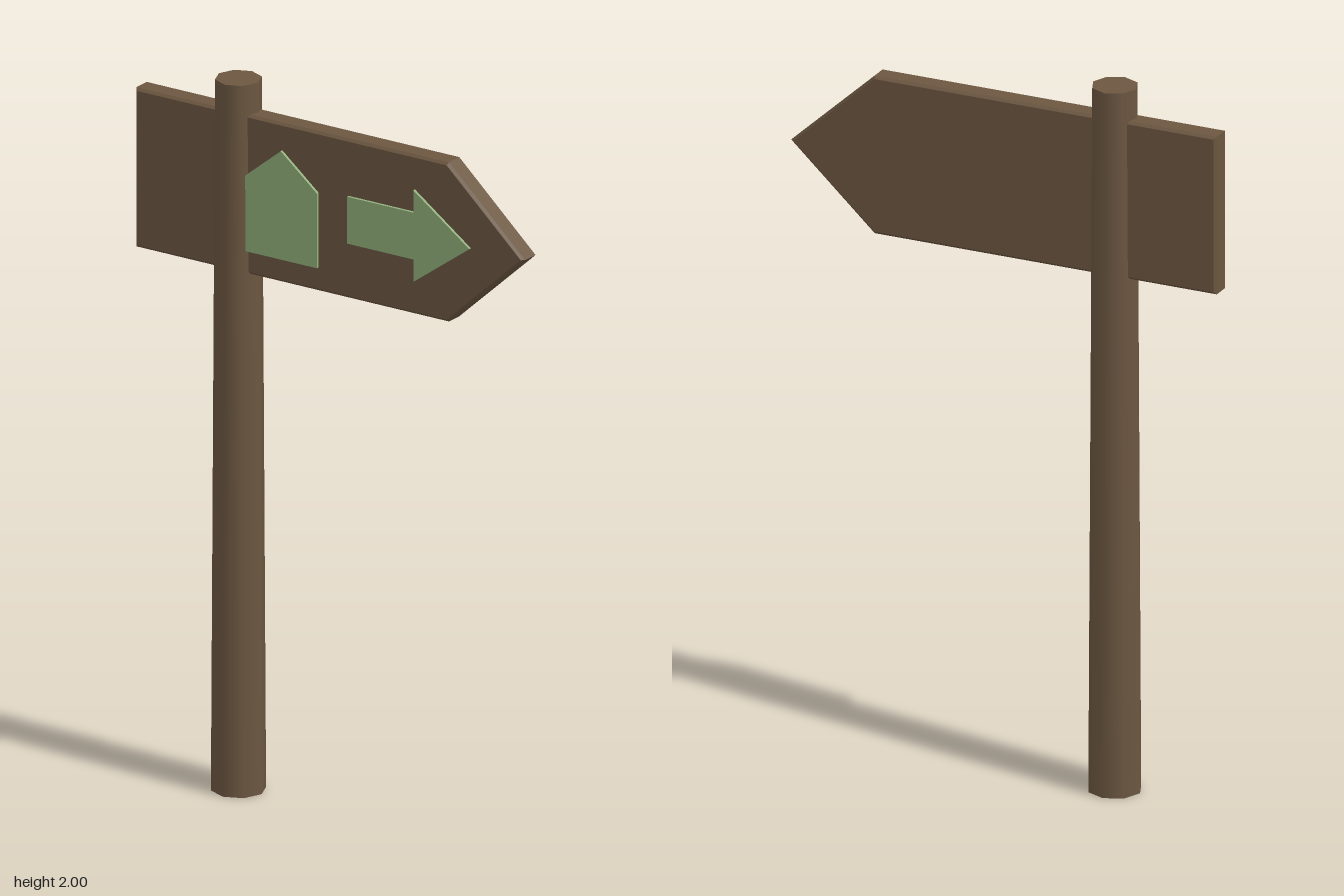
import * as THREE from 'three';

// Extrude an outline given as [x, y] corners, starting at depth z
function plate(name, points, z, options, material) {
  const shape = new THREE.Shape(points.map(([x, y]) => new THREE.Vector2(x, y)));
  const geometry = new THREE.ExtrudeGeometry(shape, options);
  geometry.translate(0, 0, z);
  const mesh = new THREE.Mesh(geometry, material);
  mesh.name = name;
  return mesh;
}

export function createModel() {
  const wood = new THREE.MeshStandardMaterial({ color: 0x6c5741 });
  wood.name = 'brown wood';
  const paint = new THREE.MeshStandardMaterial({ color: 0x91b07c });
  paint.name = 'green paint';

  const group = new THREE.Group();
  group.name = 'signpost';

  // Tapered eight-sided post
  const post = new THREE.Mesh(new THREE.CylinderGeometry(0.063, 0.074, 2, 8), wood);
  post.name = 'post';
  post.position.set(-0.312, 1, 0);
  group.add(post);

  // Pointed board with a small bevel kept inside its outline
  const bevel = 0.007;
  group.add(plate('board', [
    [-0.622, 1.468], [0.378, 1.468], [0.622, 1.692], [0.378, 1.916], [-0.622, 1.916],
  ], -0.031 + bevel, {
    depth: 0.062 - 2 * bevel, bevelEnabled: true, bevelSegments: 1,
    bevelSize: bevel, bevelThickness: bevel, bevelOffset: -bevel,
  }, wood));

  // Raised green signs on the front
  const thin = { depth: 0.009, bevelEnabled: false };
  group.add(plate('houseSign', [
    [-0.267, 1.535], [-0.034, 1.535], [-0.034, 1.745], [-0.15, 1.84], [-0.267, 1.745],
  ], 0.03, thin, paint));
  group.add(plate('arrowSign', [
    [0.062, 1.625], [0.274, 1.625], [0.274, 1.562], [0.453, 1.692],
    [0.274, 1.82], [0.274, 1.757], [0.062, 1.757],
  ], 0.03, thin, paint));

  return group;
}
